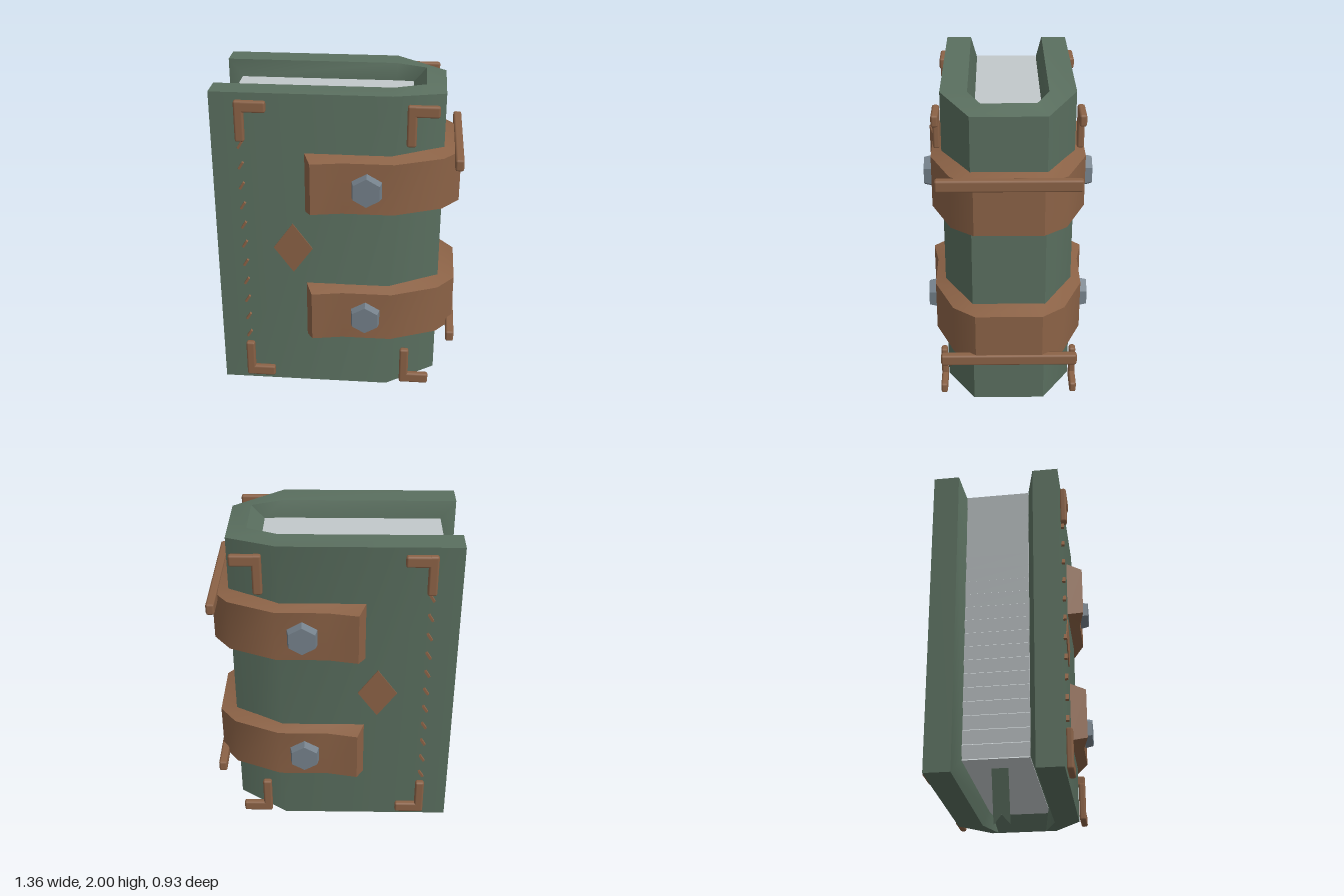
import * as THREE from 'three';
import { toCreasedNormals } from 'three/addons/utils/BufferGeometryUtils.js';
import { RoundedBoxGeometry } from 'three/addons/geometries/RoundedBoxGeometry.js';

const flat = (name, color) => {
  const m = new THREE.MeshStandardMaterial({ color });
  m.name = name;
  return m;
};

// Joins closed cross-sections into a solid; cap lists the triangles that close both ends
function loft(sections, cap) {
  const n = sections[0].length, last = (sections.length - 1) * n, index = [];
  for (let s = 0; s < sections.length - 1; s++) {
    for (let i = 0; i < n; i++) {
      const j = (i + 1) % n, a = s * n + i, b = a + n, c = (s + 1) * n + j, d = s * n + j;
      index.push(a, b, c, a, c, d);
    }
  }
  for (const [a, b, c] of cap) index.push(a, b, c, last + a, last + c, last + b);
  const g = new THREE.BufferGeometry();
  g.setAttribute('position', new THREE.Float32BufferAttribute(sections.flat(2), 3));
  g.setIndex(index);
  return toCreasedNormals(g, 0.65);
}

// Continues half a run of sections around the spine to the back
const mirrorZ = (half) =>
  [...half, ...half.slice().reverse().map((sec) => sec.map(([x, y, z]) => [x, y, -z]))];

export function createModel() {
  const model = new THREE.Group();
  model.name = 'book';
  const green = flat('coverGreen', 0x5a6f5f);
  green.side = THREE.DoubleSide;
  const leather = flat('leatherBrown', 0x8b6246);
  const paper = flat('paperGrey', 0xc2c8ca);
  const steel = flat('boltSteel', 0x74808a);

  const add = (name, geometry, material, x = 0, y = 0, z = 0, parent = model) => {
    const mesh = new THREE.Mesh(geometry, material);
    mesh.name = name;
    mesh.position.set(x, y, z);
    parent.add(mesh);
    return mesh;
  };

  // Cover: U-shaped shell with a bevelled inner rim.
  // Each station: outer x, z, end inset; rim x, z; deep x, z
  const MID = 1.095, H = 0.905;
  const coverHalf = [
    [-0.68, 0.36, 0, -0.68, 0.215, -0.59, 0.18],
    [0.29, 0.36, 0, 0.29, 0.215, 0.29, 0.18],
    [0.57, 0.2, 0.03, 0.46, 0.145, 0.39, 0.17],
  ].map(([ox, oz, inset, rx, rz, dx, dz]) => [
    [ox, MID + H - inset, oz], [rx, MID + H, rz], [dx, MID + H - 0.09, dz],
    [dx, MID - H + 0.09, dz], [rx, MID - H, rz], [ox, MID - H + inset, oz],
  ]);
  add('cover', loft(mirrorZ(coverHalf), [[0, 1, 4], [0, 4, 5], [1, 2, 3], [1, 3, 4]]), green);

  // Page block with a ridged fore-edge
  const pageShape = new THREE.Shape();
  const y0 = 0.28, y1 = 1.91, ridges = 20, step = (y1 - y0) / ridges;
  pageShape.moveTo(0.4, y1);
  for (let i = 0; i < ridges; i++) {
    pageShape.lineTo(-0.595, y1 - i * step);
    pageShape.lineTo(-0.582, y1 - (i + 0.9) * step);
  }
  pageShape.lineTo(-0.59, y0);
  pageShape.lineTo(0.4, y0);
  const pages = new THREE.ExtrudeGeometry(pageShape, { depth: 0.356, bevelEnabled: false });
  add('pages', pages, paper, 0, 0, -0.178);

  // Ribbon bookmark with a notched end, hanging below the pages
  const ribbonShape = new THREE.Shape([
    [-0.045, 0.29], [-0.045, 0], [0, 0.05], [0.045, 0], [0.045, 0.29],
  ].map(([x, y]) => new THREE.Vector2(x, y)));
  const ribbon = new THREE.ShapeGeometry(ribbonShape);
  const rp = ribbon.attributes.position;
  for (let i = 0; i < rp.count; i++) {
    rp.setXYZ(i, -0.363 - 0.3 * rp.getY(i), rp.getY(i), -rp.getX(i));
  }
  ribbon.computeVertexNormals();
  add('ribbon', ribbon, green);

  // Straps wrapped around the spine; each station: base x, z, outer x, z
  const strapHalf = [
    [-0.18, 0.355, -0.14, 0.45],
    [0.03, 0.355, 0.03, 0.418],
    [0.29, 0.355, 0.31, 0.418],
    [0.44, 0.27, 0.57, 0.308],
    [0.565, 0.195, 0.665, 0.185],
  ].map(([bx, bz, ox, oz]) => [
    [ox, 0.148, oz], [bx, 0.175, bz], [bx, -0.175, bz], [ox, -0.148, oz],
  ]);
  const strapGeo = loft(mirrorZ(strapHalf), [[0, 1, 2], [0, 2, 3]]);
  const barGeo = new RoundedBoxGeometry(0.047, 0.066, 0.76, 1, 0.012);
  const boltGeo = toCreasedNormals(
    new THREE.CylinderGeometry(0.083, 0.1, 0.07, 6).rotateX(Math.PI / 2), 0.3);
  for (const [y, barY] of [[1.495, 1.633], [0.695, 0.557]]) {
    add('strap', strapGeo, leather, 0, y, 0);
    add('spineBar', barGeo, leather, 0.652, barY, 0);
  }

  // Fittings repeated on the front and back boards
  const uprightGeo = new RoundedBoxGeometry(0.052, 0.23, 0.038, 1, 0.012);
  const footGeo = new RoundedBoxGeometry(0.17, 0.064, 0.038, 1, 0.012);
  const stitchGeo = new THREE.BoxGeometry(0.013, 0.045, 0.022);
  const diamondGeo = new THREE.ExtrudeGeometry(
    new THREE.Shape([[0.11, 0], [0, 0.153], [-0.11, 0], [0, -0.153]]
      .map(([x, y]) => new THREE.Vector2(x, y))),
    { depth: 0.008, bevelEnabled: false });

  for (const side of [1, -1]) {
    const board = new THREE.Group();
    board.name = side > 0 ? 'frontFittings' : 'backFittings';
    model.add(board);

    // L-shaped corner guards
    for (const x of [-0.545, 0.367]) {
      for (const [upY, footY] of [[1.848, 1.93], [0.34, 0.258]]) {
        add('cornerUpright', uprightGeo, leather, x + 0.026, upY, side * 0.376, board);
        add('cornerFoot', footGeo, leather, x + 0.085, footY, side * 0.376, board);
      }
    }
    // Slanted stitches
    for (let i = 0; i < 11; i++) {
      add('stitch', stitchGeo, leather, -0.522, 0.51 + i * 0.12, side * 0.367, board)
        .rotation.z = -0.55;
    }
    // Diamond inlay
    add('diamond', diamondGeo, leather, -0.25, 1.092, side > 0 ? 0.358 : -0.366, board);
    // Hexagonal strap bolts
    for (const y of [1.493, 0.693]) {
      const bolt = add('bolt', boltGeo, steel, 0.163, y, side * 0.43, board);
      if (side < 0) bolt.rotation.y = Math.PI;
    }
  }
  return model;
}
